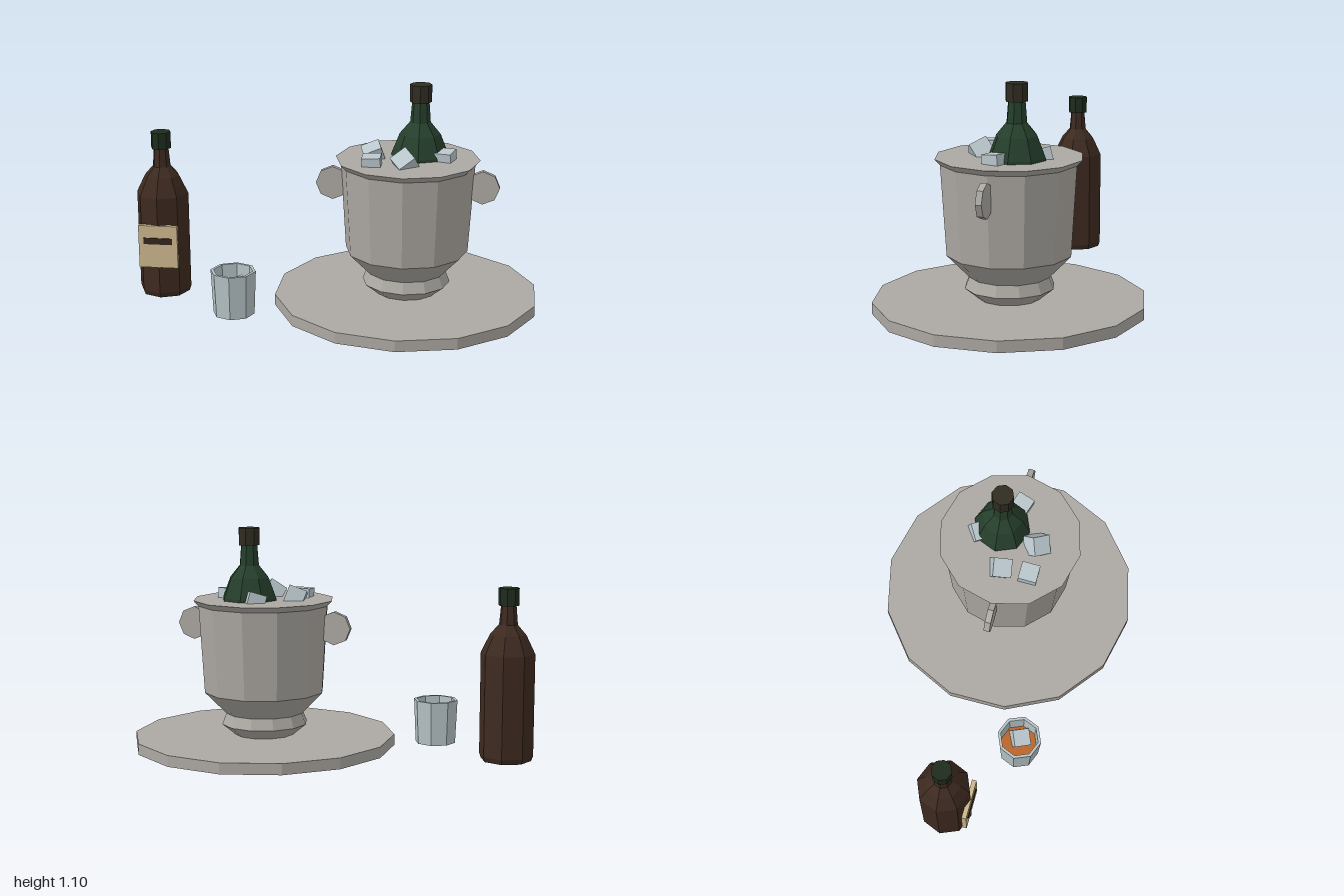
import * as THREE from 'three';

const mat = (name, color) => {
  const m = new THREE.MeshStandardMaterial({ color, flatShading: true });
  m.name = name;
  return m;
};

export function createModel() {
  const root = new THREE.Group();
  root.name = 'iceBucketSet';

  const metal = mat('brushed metal', 0xaca8a2);
  const green = mat('green bottle glass', 0x263f2c);
  const brown = mat('brown bottle glass', 0x3d2a20);
  const darkFoil = mat('dark foil', 0x302c22);
  const greenFoil = mat('green foil', 0x1f2c1c);
  const paper = mat('label paper', 0xcbb68c);
  const ink = mat('label ink', 0x35261e);
  const clear = mat('tumbler glass', 0xb6c3c6);
  const spirit = mat('spirit', 0xb8662a);
  const ice = mat('ice', 0xb9c6cb);

  const add = (parent, name, geometry, material, x = 0, y = 0, z = 0) => {
    const mesh = new THREE.Mesh(geometry, material);
    mesh.name = name;
    mesh.position.set(x, y, z);
    parent.add(mesh);
    return mesh;
  };
  const group = (name, x, z) => {
    const g = new THREE.Group();
    g.name = name;
    g.position.set(x, 0, z);
    root.add(g);
    return g;
  };
  // Closed profile of [radius, height] pairs, listed from bottom to top
  const lathe = (profile, sides) =>
    new THREE.LatheGeometry(profile.map(([r, y]) => new THREE.Vector2(r, y)), sides);

  // Tray
  const service = group('bucketOnTray', 0.357, 0);
  add(service, 'tray', new THREE.CylinderGeometry(0.655, 0.655, 0.055, 14), metal, 0, 0.0275, 0);

  // Bucket with foot, flared rim and flat top
  add(service, 'bucket', lathe([
    [0, 0.055], [0.15, 0.055], [0.217, 0.11], [0.195, 0.165],
    [0.302, 0.275], [0.328, 0.71], [0.353, 0.738], [0, 0.738],
  ], 12), metal);

  // Disc handles on both sides
  for (const side of [-1, 1]) {
    const handle = add(service, side > 0 ? 'leftHandle' : 'rightHandle',
      new THREE.CylinderGeometry(0.083, 0.083, 0.03, 8), metal, side * 0.367, 0.604, 0);
    handle.rotation.x = Math.PI / 2;
  }

  // Chilled bottle
  const chilled = group('chilledBottle', 0.412, -0.055);
  add(chilled, 'chilledBottleBody', lathe([
    [0, 0.6], [0.139, 0.6], [0.139, 0.75], [0.1, 0.85],
    [0.05, 0.91], [0.042, 1.01], [0, 1.01],
  ], 8), green);
  add(chilled, 'chilledBottleCap', new THREE.CylinderGeometry(0.054, 0.054, 0.085, 8), darkFoil, 0, 1.0525, 0);

  // Standing bottle
  const standing = group('standingBottle', -0.87, 0);
  add(standing, 'standingBottleBody', lathe([
    [0, 0], [0.122, 0], [0.131, 0.025], [0.131, 0.52], [0.087, 0.61],
    [0.045, 0.658], [0.037, 0.75], [0, 0.75],
  ], 8), brown);
  add(standing, 'standingBottleCap', new THREE.CylinderGeometry(0.05, 0.05, 0.083, 8), greenFoil, 0, 0.7915, 0);
  add(standing, 'label', new THREE.BoxGeometry(0.196, 0.218, 0.023), paper, 0, 0.274, 0.1235);
  add(standing, 'labelBand', new THREE.BoxGeometry(0.145, 0.032, 0.006), ink, 0, 0.304, 0.137);

  // Tumbler with spirit and an ice cube
  const tumbler = group('tumbler', -0.465, 0.272);
  add(tumbler, 'tumblerGlass', lathe([
    [0, 0], [0.102, 0], [0.112, 0.22], [0.097, 0.22], [0.09, 0.02], [0, 0.02],
  ], 8), clear);
  add(tumbler, 'spirit', new THREE.CylinderGeometry(0.094, 0.089, 0.09, 8), spirit, 0, 0.066, 0);

  // Ice cubes: position, size, rotation
  const cubes = [
    [0.19, 0.75, -0.005, 0.092, [0.25, 0.25, 0.3]],
    [0.195, 0.738, 0.135, 0.09, [0.05, 0, 0.05]],
    [0.355, 0.75, 0.135, 0.092, [0.5, 0.6, 0.35]],
    [0.355, 0.735, -0.155, 0.088, [0.2, 0.6, 0.2]],
    [0.538, 0.74, 0.01, 0.088, [0.1, -0.3, 0.05]],
    [-0.44, 0.125, 0.27, 0.085, [0.2, 0.45, 0.2]],
  ];
  cubes.forEach(([x, y, z, s, r], i) => {
    const cube = add(root, `iceCube${i + 1}`, new THREE.BoxGeometry(s, s, s), ice, x, y, z);
    cube.rotation.set(...r);
  });

  return root;
}
